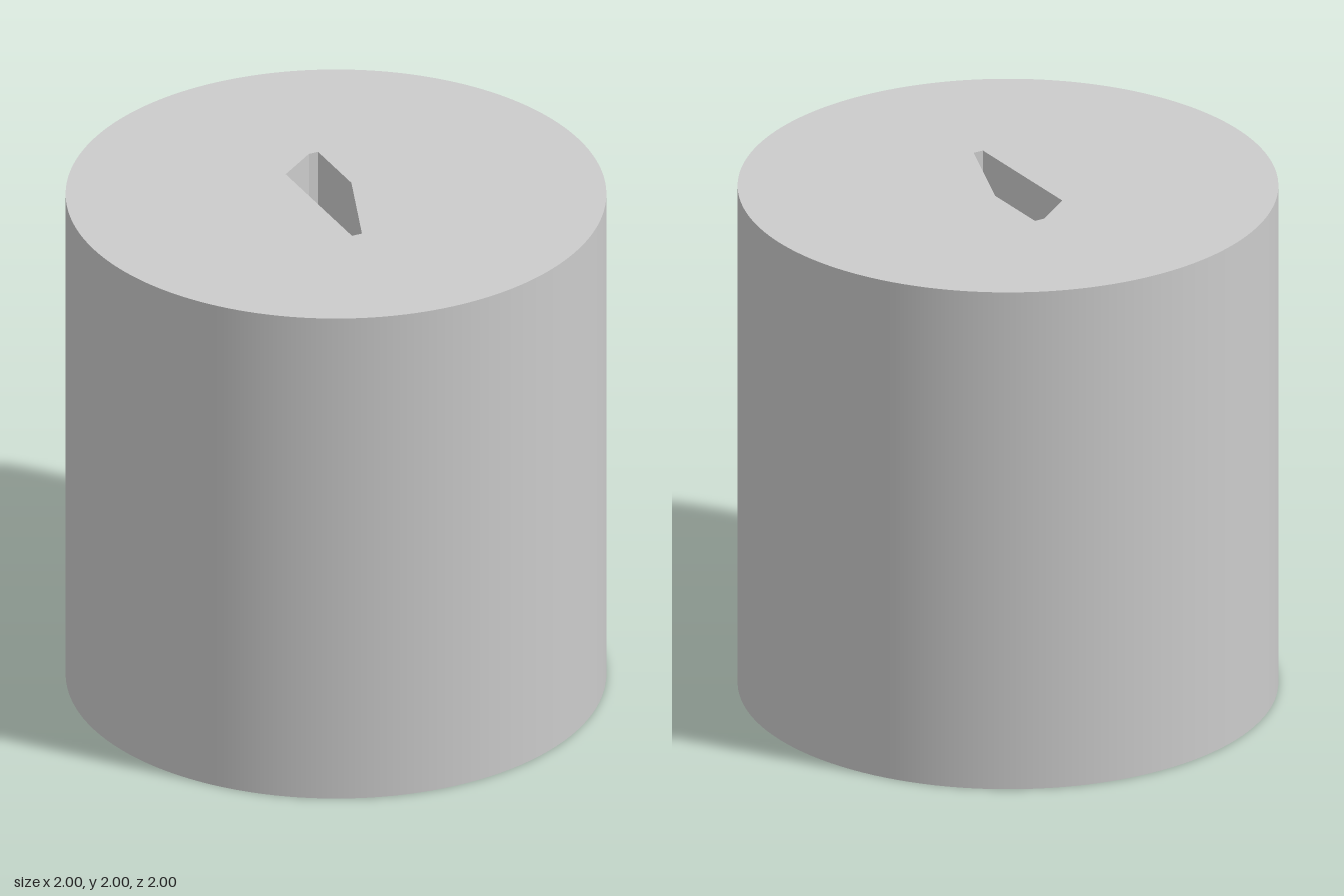
import * as THREE from 'three';

const HEIGHT = 2;
const RADIUS = 1;
const SLOT_DEPTH = 1.2;
const SEGMENTS = 128;

// slot outline as (x, z), running round so that the walls face inwards
const SLOT = [
  [-0.096, -0.225], [0.053, -0.333], [0.091, -0.333],
  [0.091, -0.055], [-0.055, 0.327], [-0.096, 0.327],
];

export function createModel() {
  const model = new THREE.Group();
  const material = new THREE.MeshStandardMaterial({ color: 0xcccccc });

  const add = (name, geometry, y, parent = model) => {
    const mesh = new THREE.Mesh(geometry, material);
    mesh.name = name;
    mesh.position.y = y;
    parent.add(mesh);
    return mesh;
  };
  const slotPoints = () => SLOT.map(([x, z]) => new THREE.Vector2(x, -z));

  // round side wall
  add('sideWall', new THREE.CylinderGeometry(RADIUS, RADIUS, HEIGHT, SEGMENTS, 1, true), HEIGHT / 2);

  // closed base
  add('base', new THREE.CircleGeometry(RADIUS, SEGMENTS).rotateX(Math.PI / 2), 0);

  // top face pierced by the slot
  const disc = new THREE.Shape();
  disc.absarc(0, 0, RADIUS, 0, Math.PI * 2);
  disc.holes.push(new THREE.Path(slotPoints()));
  add('topFace', new THREE.ShapeGeometry(disc, SEGMENTS).rotateX(-Math.PI / 2), HEIGHT);

  // blind slot: flat walls and a floor
  const slot = new THREE.Group();
  slot.name = 'slot';
  model.add(slot);
  SLOT.forEach(([x, z], i) => {
    const [nx, nz] = SLOT[(i + 1) % SLOT.length];
    const wall = add('slotWall',
      new THREE.PlaneGeometry(Math.hypot(nx - x, nz - z), SLOT_DEPTH), HEIGHT - SLOT_DEPTH / 2, slot);
    wall.position.x = (x + nx) / 2;
    wall.position.z = (z + nz) / 2;
    wall.rotation.y = Math.atan2(z - nz, nx - x);
  });
  add('slotFloor', new THREE.ShapeGeometry(new THREE.Shape(slotPoints())).rotateX(-Math.PI / 2),
    HEIGHT - SLOT_DEPTH, slot);

  return model;
}
